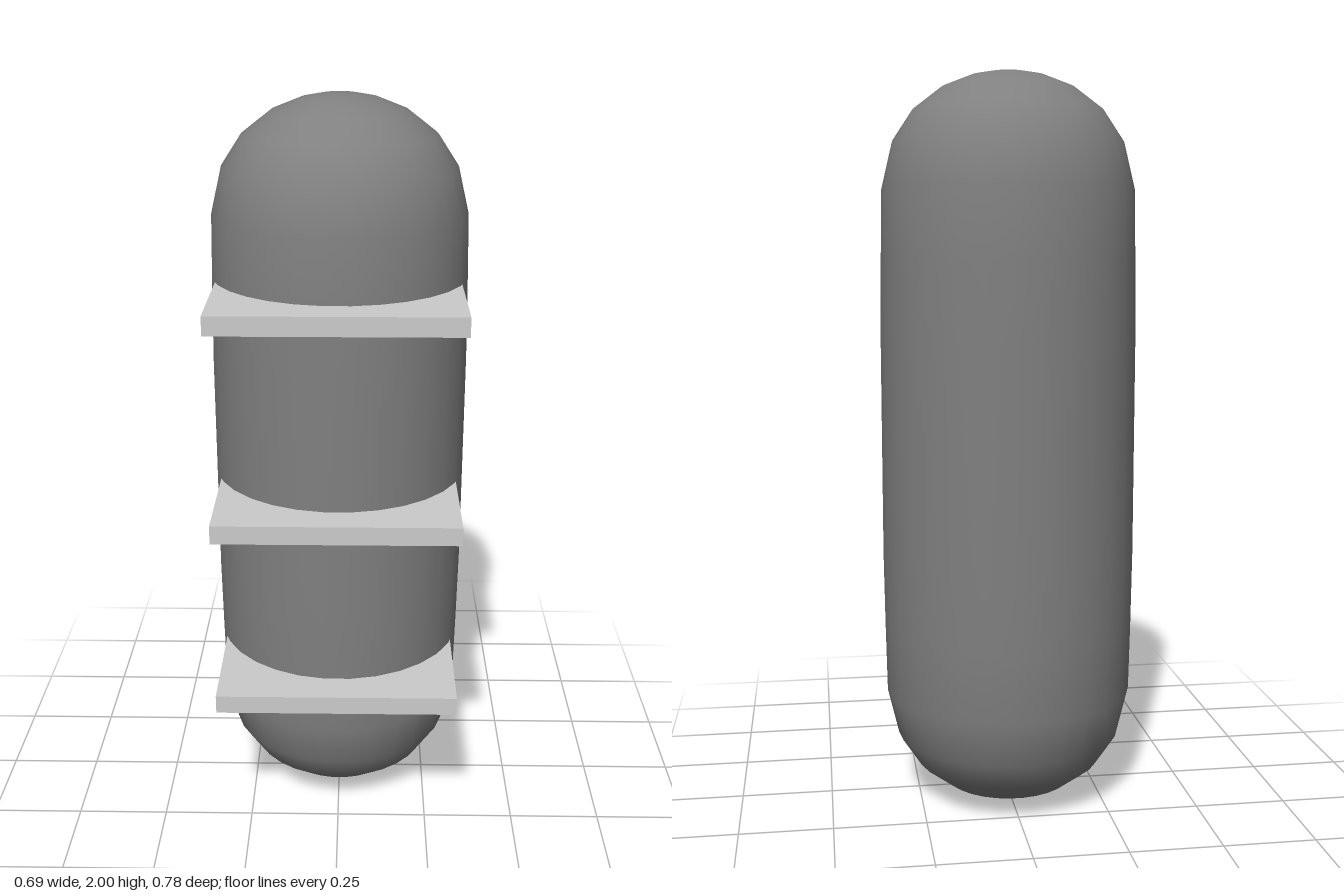
import * as THREE from 'three';

export function createModel() {
  const group = new THREE.Group();
  const bodyMaterial = new THREE.MeshStandardMaterial({ color: 0x808080 });
  const shelfMaterial = new THREE.MeshStandardMaterial({ color: 0xcccccc });

  // Rounded upright body: half profile mirrored about mid height
  const half = [
    [0, 0], [0.047, 0.002], [0.1, 0.012], [0.178, 0.043], [0.255, 0.102],
    [0.31, 0.185], [0.34, 0.31], [0.344, 0.5], [0.347, 0.7],
  ];
  const profile = [...half, ...half.map(([r, y]) => [r, 2 - y]).reverse()]
    .map(([r, y]) => new THREE.Vector2(r, y));
  const body = new THREE.Mesh(new THREE.LatheGeometry(profile, 30, Math.PI / 2), bodyMaterial);
  body.name = 'body';
  body.position.z = -0.047;
  group.add(body);

  // Flat shelves running from inside the body out to the front
  const shelfGeometry = new THREE.BoxGeometry(0.645, 0.05, 0.47);
  [0.455, 0.955, 1.505].forEach((y, i) => {
    const shelf = new THREE.Mesh(shelfGeometry, shelfMaterial);
    shelf.name = `shelf${i + 1}`;
    shelf.position.set(-0.002, y, 0.157);
    group.add(shelf);
  });

  return group;
}
